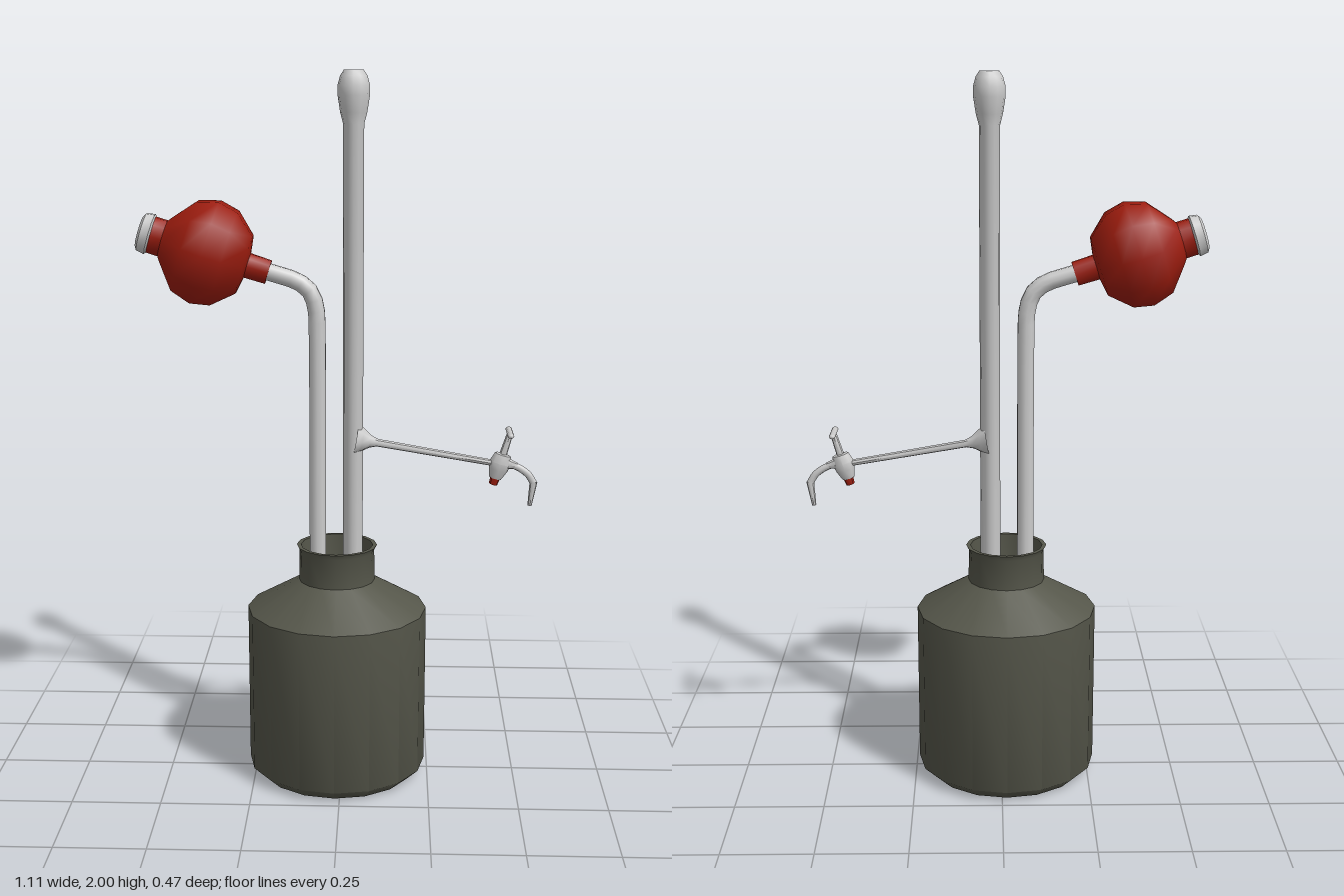
import * as THREE from 'three';
import { toCreasedNormals } from 'three/addons/utils/BufferGeometryUtils.js';

const glass = new THREE.MeshStandardMaterial({ color: 0xcccccc, side: THREE.DoubleSide });
const dark = new THREE.MeshStandardMaterial({ color: 0x55564a, side: THREE.DoubleSide });
const red = new THREE.MeshStandardMaterial({ color: 0x9c1c0e, side: THREE.DoubleSide });

const UP = new THREE.Vector3(0, 1, 0);

// Lathe of [radius, distance] pairs, starting at (x, y) and running along (dx, dy)
function turned(name, profile, sides, material, [x, y], [dx, dy] = [0, 1], zScale = 1) {
  const points = profile.map(([r, t]) => new THREE.Vector2(r, t));
  const geometry = toCreasedNormals(new THREE.LatheGeometry(points, sides), 0.85);
  const mesh = new THREE.Mesh(geometry, material);
  mesh.name = name;
  mesh.position.set(x, y, 0);
  mesh.quaternion.setFromUnitVectors(UP, new THREE.Vector3(dx, dy, 0).normalize());
  mesh.scale.z = zScale;
  return mesh;
}

// Round tube through points in the xy plane
function bentTube(name, points, radius, segments, sides) {
  const curve = new THREE.CatmullRomCurve3(points.map(([x, y]) => new THREE.Vector3(x, y, 0)), false, 'centripetal');
  const mesh = new THREE.Mesh(new THREE.TubeGeometry(curve, segments, radius, sides), glass);
  mesh.name = name;
  return mesh;
}

export function createModel() {
  const model = new THREE.Group();
  model.name = 'dispensingBottle';

  // Bottle with open neck and flared lip
  const bottle = turned('bottle', [
    [0, 0.004], [0.222, 0.004], [0.255, 0.035], [0.255, 0.503],
    [0.108, 0.588], [0.106, 0.675], [0.114, 0.69], [0.102, 0.69], [0.098, 0.6],
  ], 16, dark, [-0.014, 0], [0, 1], 0.93);
  model.add(bottle);

  // Tall measuring tube with a swollen top
  model.add(turned('measuringTube', [
    [0, 0.06], [0.028, 0.06], [0.028, 1.86], [0.036, 1.89], [0.043, 1.935],
    [0.043, 1.96], [0.036, 1.985], [0.026, 2], [0, 2],
  ], 12, glass, [0.031, 0], [0, 1], 1.15));

  // Bent air tube
  model.add(bentTube('airTube', [
    [-0.068, 0.06], [-0.068, 0.7], [-0.068, 1.3], [-0.07, 1.36], [-0.085, 1.41],
    [-0.118, 1.439], [-0.16, 1.454], [-0.225, 1.473],
  ], 0.024, 50, 10));

  // Squeeze bulb on the end of the air tube
  const bulbStart = [-0.2, 1.465];
  const bulbAxis = [-0.953, 0.302];
  model.add(turned('bulbCollar', [[0, 0], [0.034, 0], [0.036, 0.08]], 10, red, bulbStart, bulbAxis, 0.75));
  model.add(turned('squeezeBulb', [
    [0.034, 0.06], [0.085, 0.068], [0.138, 0.125], [0.15, 0.18], [0.132, 0.238],
    [0.064, 0.292], [0.052, 0.3], [0.052, 0.342],
  ], 10, red, bulbStart, bulbAxis, 0.72));
  model.add(turned('bulbValve', [
    [0.05, 0.332], [0.058, 0.337], [0.054, 0.36], [0.042, 0.367], [0, 0.369],
  ], 10, glass, bulbStart, bulbAxis, 0.75));

  // Side arm flaring out of the measuring tube
  model.add(turned('sideArm', [
    [0.045, 0], [0.034, 0.018], [0.018, 0.04], [0.011, 0.06], [0.009, 0.4],
  ], 8, glass, [0.04, 0.999], [0.38, -0.065]));

  // Stopcock: barrel, stem, cross handle and red retaining cap
  const tapAxis = [0.045, 0.15];
  const tapStart = [0.424, 0.872];
  model.add(turned('tapCap', [[0, 0], [0.012, 0], [0.014, 0.02], [0, 0.02]], 8, red, tapStart, tapAxis));
  model.add(turned('tapBarrel', [
    [0, 0.014], [0.017, 0.018], [0.027, 0.045], [0.03, 0.065], [0.023, 0.09], [0, 0.094],
  ], 8, glass, tapStart, tapAxis, 0.8));
  model.add(turned('tapStem', [[0.011, 0.085], [0.009, 0.15]], 8, glass, tapStart, tapAxis));
  const handle = new THREE.Mesh(new THREE.CapsuleGeometry(0.007, 0.088, 3, 8), glass);
  handle.name = 'tapHandle';
  handle.rotation.x = Math.PI / 2;
  handle.scale.x = 1.3;
  handle.position.set(0.467, 1.021, 0);
  model.add(handle);

  // Curved outlet with a narrow tip
  model.add(turned('outletJoint', [
    [0.02, 0], [0.014, 0.02], [0.009, 0.04],
  ], 8, glass, [0.45, 0.935], [0.05, -0.012]));
  model.add(bentTube('outlet', [
    [0.465, 0.932], [0.495, 0.92], [0.522, 0.9], [0.537, 0.876],
  ], 0.01, 12, 8));
  model.add(turned('outletTip', [
    [0.011, 0], [0.006, 0.07], [0, 0.07],
  ], 8, glass, [0.537, 0.88], [-0.009, -0.07]));

  return model;
}
